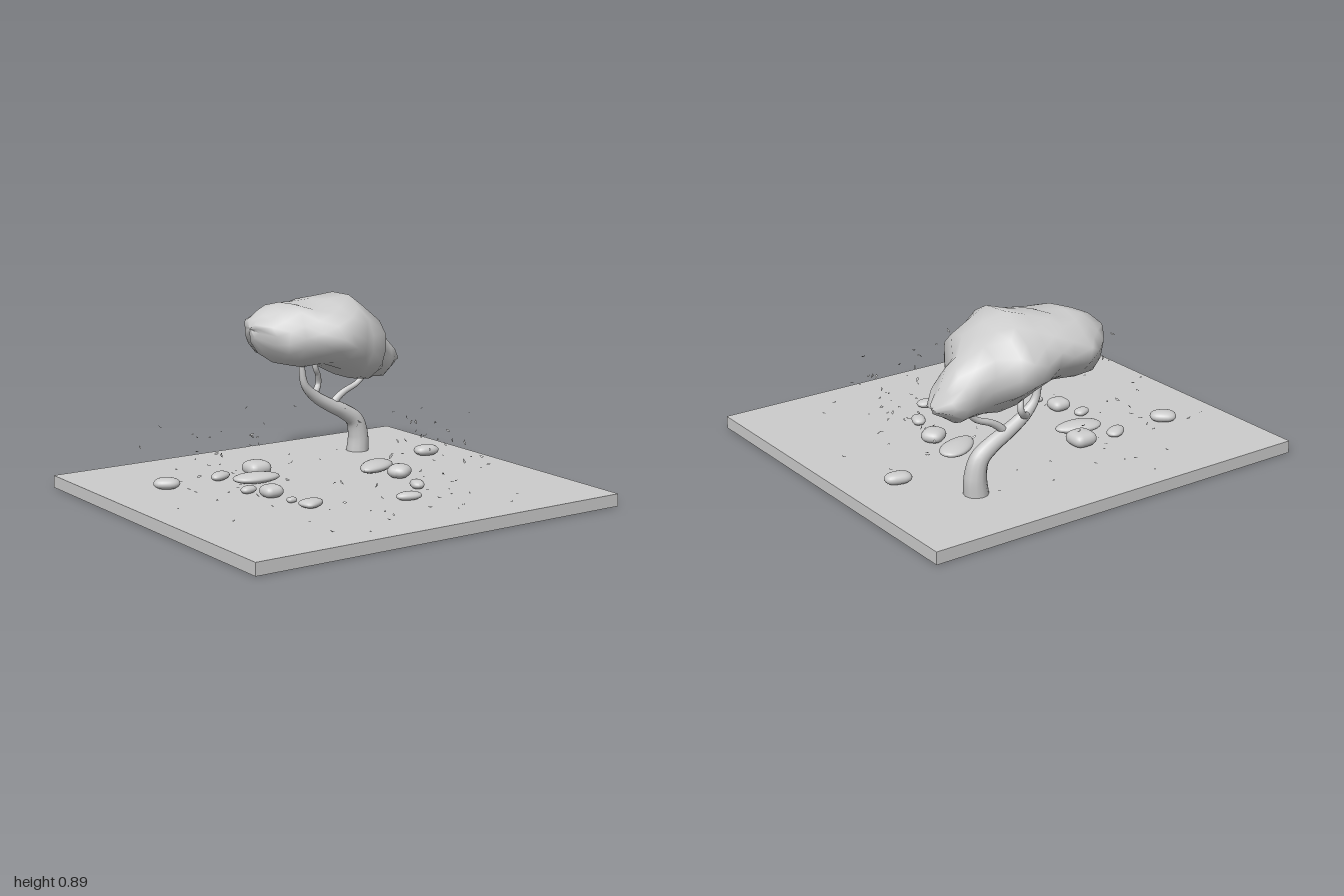
import * as THREE from 'three';
import { mergeGeometries } from 'three/addons/utils/BufferGeometryUtils.js';

const GROUND = 0.06;
const grey = new THREE.MeshStandardMaterial({ color: 0xcccccc });
const greyThin = new THREE.MeshStandardMaterial({ color: 0xcccccc, side: THREE.DoubleSide });

function seeded(seed) {
  return () => {
    seed = (seed * 1664525 + 1013904223) % 4294967296;
    return seed / 4294967296;
  };
}

function named(name, geometry, material = grey) {
  const mesh = new THREE.Mesh(geometry, material);
  mesh.name = name;
  return mesh;
}

// Tapered tube through points given as [x, y, z, radius]
function limb(points, segments = 28, sides = 12) {
  const curve = new THREE.CatmullRomCurve3(points.map(p => new THREE.Vector3(p[0], p[1], p[2])));
  const geo = new THREE.TubeGeometry(curve, segments, 1, sides);
  const pos = geo.attributes.position, v = new THREE.Vector3();
  for (let i = 0; i <= segments; i++) {
    const u = i / segments;
    const centre = curve.getPointAt(u);
    const f = curve.getUtoTmapping(u) * (points.length - 1);
    const k = Math.min(Math.floor(f), points.length - 2);
    const r = THREE.MathUtils.lerp(points[k][3], points[k + 1][3], f - k);
    for (let j = 0; j <= sides; j++) {
      const n = i * (sides + 1) + j;
      v.fromBufferAttribute(pos, n).sub(centre).multiplyScalar(r).add(centre);
      pos.setXYZ(n, v.x, v.y, v.z);
    }
  }
  return geo;
}

// Lumpy crown lofted along x; each section is [x, yLow, yHigh, zBack, zFront]
function crownGeometry() {
  const sections = [
    [-0.06, 0.72, 0.74, -0.63, -0.60], [-0.05, 0.67, 0.78, -0.68, -0.55],
    [0.0, 0.60, 0.81, -0.74, -0.47], [0.05, 0.56, 0.84, -0.77, -0.41],
    [0.11, 0.55, 0.85, -0.80, -0.35], [0.18, 0.54, 0.85, -0.77, -0.29],
    [0.25, 0.53, 0.86, -0.77, -0.25], [0.32, 0.51, 0.87, -0.78, -0.23],
    [0.40, 0.47, 0.88, -0.79, -0.25], [0.46, 0.45, 0.85, -0.75, -0.29],
    [0.53, 0.45, 0.79, -0.70, -0.29], [0.59, 0.44, 0.71, -0.65, -0.37],
    [0.66, 0.43, 0.67, -0.66, -0.41], [0.71, 0.47, 0.60, -0.63, -0.45],
    [0.755, 0.49, 0.53, -0.56, -0.49], [0.762, 0.51, 0.515, -0.53, -0.52]];
  const sides = 15, rand = seeded(11), verts = [], index = [];
  sections.forEach(([x, y0, y1, z0, z1], i) => {
    const end = i === 0 || i === sections.length - 1;
    for (let j = 0; j < sides; j++) {
      const a = (j + (i % 2) * 0.5) / sides * Math.PI * 2;
      const s = end ? 0 : 1 + 0.05 * Math.sin(3 * a + i * 1.3) + (rand() - 0.5) * 0.14;
      const shift = end ? 0 : (rand() - 0.5) * 0.025;
      verts.push(x + shift,
        (y0 + y1) / 2 + (y1 - y0) / 2 * s * Math.sin(a),
        (z0 + z1) / 2 + (z1 - z0) / 2 * s * Math.cos(a));
    }
  });
  for (let i = 0; i < sections.length - 1; i++) {
    for (let j = 0; j < sides; j++) {
      const k = (j + 1) % sides;
      const a = i * sides + j, d = i * sides + k, b = a + sides, c = d + sides;
      if (i % 2) index.push(a, b, c, a, c, d);
      else index.push(a, b, d, b, c, d);
    }
  }
  const geo = new THREE.BufferGeometry();
  geo.setAttribute('position', new THREE.Float32BufferAttribute(verts, 3));
  geo.setIndex(index);
  geo.computeVertexNormals();
  return geo;
}

// Rounded pebble: squareness 1 is round, lower is boxier; egg narrows one end
function stoneGeometry(rx, ry, rz, squareness, egg) {
  const geo = new THREE.SphereGeometry(1, 24, 14);
  const pos = geo.attributes.position;
  const soft = t => Math.sign(t) * Math.pow(Math.abs(t), squareness);
  for (let i = 0; i < pos.count; i++) {
    const x = soft(pos.getX(i)), y = pos.getY(i), z = soft(pos.getZ(i));
    const fit = squareness < 1 ? 0.96 : 1;
    pos.setXYZ(i, x * rx * fit, y * ry, z * rz * fit * (1 + egg * x));
  }
  geo.computeVertexNormals();
  return geo;
}

// Small curled leaf, pointed at both ends
function leafGeometry() {
  const shape = new THREE.Shape();
  shape.moveTo(-0.015, 0);
  shape.quadraticCurveTo(-0.002, 0.013, 0.015, 0);
  shape.quadraticCurveTo(-0.002, -0.011, -0.015, 0);
  const geo = new THREE.ShapeGeometry(shape, 4);
  geo.rotateX(-Math.PI / 2);
  const pos = geo.attributes.position;
  for (let i = 0; i < pos.count; i++) pos.setY(i, 18 * pos.getX(i) ** 2);
  geo.computeVertexNormals();
  return geo;
}

function scatterLeaves(spots, rand, airborne) {
  const leaf = leafGeometry(), dummy = new THREE.Object3D();
  return mergeGeometries(spots.map(([x, z]) => {
    const tilt = airborne ? 2.6 : 0.35;
    dummy.position.set(x, airborne ? 0.19 + 0.18 * rand() : GROUND + 0.004, z);
    dummy.rotation.set((rand() - 0.5) * tilt, rand() * Math.PI * 2, (rand() - 0.5) * tilt);
    dummy.scale.setScalar(0.55 + 0.4 * rand());
    dummy.updateMatrix();
    return leaf.clone().applyMatrix4(dummy.matrix);
  }));
}

export function createModel() {
  const model = new THREE.Group();
  model.name = 'treeScene';

  // Ground slab
  const ground = named('ground', new THREE.BoxGeometry(2, GROUND, 1.82));
  ground.position.y = GROUND / 2;
  model.add(ground);

  // Leaning tree
  const tree = new THREE.Group();
  tree.name = 'tree';
  const Z = -0.53;
  tree.add(named('trunk', limb([
    [0.533, 0.05, Z, 0.058], [0.537, 0.14, Z, 0.052], [0.515, 0.22, Z, 0.045],
    [0.45, 0.27, Z, 0.039], [0.36, 0.315, Z, 0.034], [0.27, 0.37, Z, 0.029],
    [0.212, 0.43, Z, 0.02], [0.195, 0.50, Z, 0.016], [0.195, 0.60, Z, 0.015]], 40)));
  tree.add(named('middleBranch', limb([
    [0.25, 0.37, Z, 0.018], [0.295, 0.385, -0.56, 0.017], [0.322, 0.42, -0.575, 0.015],
    [0.31, 0.47, -0.56, 0.014], [0.285, 0.51, -0.545, 0.014], [0.28, 0.58, -0.54, 0.013]])));
  tree.add(named('outerBranch', limb([
    [0.37, 0.30, Z, 0.022], [0.40, 0.34, -0.53, 0.019], [0.45, 0.375, -0.53, 0.016],
    [0.53, 0.41, -0.53, 0.014], [0.57, 0.45, -0.53, 0.013], [0.58, 0.50, -0.53, 0.012]])));
  tree.add(named('crown', crownGeometry()));
  model.add(tree);

  // Stones: x, z, half length, half height, half width, turn, squareness, egg
  const stones = new THREE.Group();
  stones.name = 'stones';
  [
    [-0.68, -0.37, 0.066, 0.027, 0.048, -0.6, 0.8, -0.1],
    [-0.385, -0.375, 0.062, 0.021, 0.038, 0.5, 0.9, 0.15],
    [-0.18, -0.37, 0.066, 0.036, 0.066, 0, 0.6, 0],
    [-0.27, -0.23, 0.118, 0.026, 0.063, -0.2, 1, -0.2],
    [-0.41, -0.08, 0.044, 0.018, 0.03, 0.3, 0.8, 0.1],
    [-0.36, 0.04, 0.053, 0.03, 0.053, 0, 0.65, 0],
    [-0.34, 0.18, 0.025, 0.013, 0.019, 0, 0.7, 0],
    [-0.31, 0.30, 0.062, 0.02, 0.045, 0.2, 0.75, -0.3],
    [0.13, 0.445, 0.066, 0.02, 0.036, -0.2, 0.85, 0.15],
    [0.295, 0.29, 0.05, 0.021, 0.034, 1.15, 0.8, 0],
    [0.355, 0.07, 0.062, 0.033, 0.058, 0.6, 0.75, 0],
    [0.335, -0.10, 0.122, 0.027, 0.066, 0.5, 1, 0.2],
    [0.752, -0.235, 0.067, 0.027, 0.043, -0.2, 0.75, -0.1],
  ].forEach(([x, z, rx, ry, rz, turn, sq, egg]) => {
    const stone = named('stone', stoneGeometry(rx, ry, rz, sq, egg));
    stone.position.set(x, GROUND + ry * 0.95, z);
    stone.rotation.y = turn;
    stones.add(stone);
  });
  model.add(stones);

  // Leaves drifting in the air and lying on the ground
  const rand = seeded(5);
  const drift = [
    [-0.48, -0.78], [-0.27, -0.8], [-0.66, -0.66], [-0.46, -0.66], [-0.35, -0.64], [-0.23, -0.63],
    [-0.37, -0.49], [-0.23, -0.48], [-0.14, -0.52], [-0.57, -0.43], [-0.55, -0.35], [-0.61, -0.22],
    [-0.5, -0.17], [-0.83, 0], [-0.88, 0.27], [-0.74, 0.32], [-0.68, 0.43], [-0.47, 0.52],
    [-0.3, 0.52], [-0.14, 0.52], [-0.38, 0.58], [-0.48, 0.71], [-0.47, 0.79], [-0.35, 0.81],
    [-0.26, 0.73], [-0.1, 0.64], [0, 0.57], [0.12, 0.62], [0.16, 0.66], [0.26, 0.51],
    [0.36, 0.56], [0.43, 0.52], [0.47, 0.6], [0.49, 0.75], [0.34, 0.71], [0.6, 0.66],
    [0.45, 0.45], [0.5, 0.3], [0.6, 0.13], [0.7, -0.1], [0.67, -0.17], [0.8, 0.15], [0.6, -0.2]];
  const extra = n => Array.from({ length: n }, () => {
    const a = rand() * Math.PI * 2, r = 0.35 + 0.4 * rand();
    return [Math.cos(a) * r, Math.sin(a) * r];
  });
  const air = drift.filter((_, i) => i % 2 === 0).concat(extra(36));
  const fallen = drift.filter((_, i) => i % 2 === 1).concat(extra(34));
  model.add(named('driftingLeaves', scatterLeaves(air, rand, true), greyThin));
  model.add(named('fallenLeaves', scatterLeaves(fallen, rand, false), greyThin));
  return model;
}
